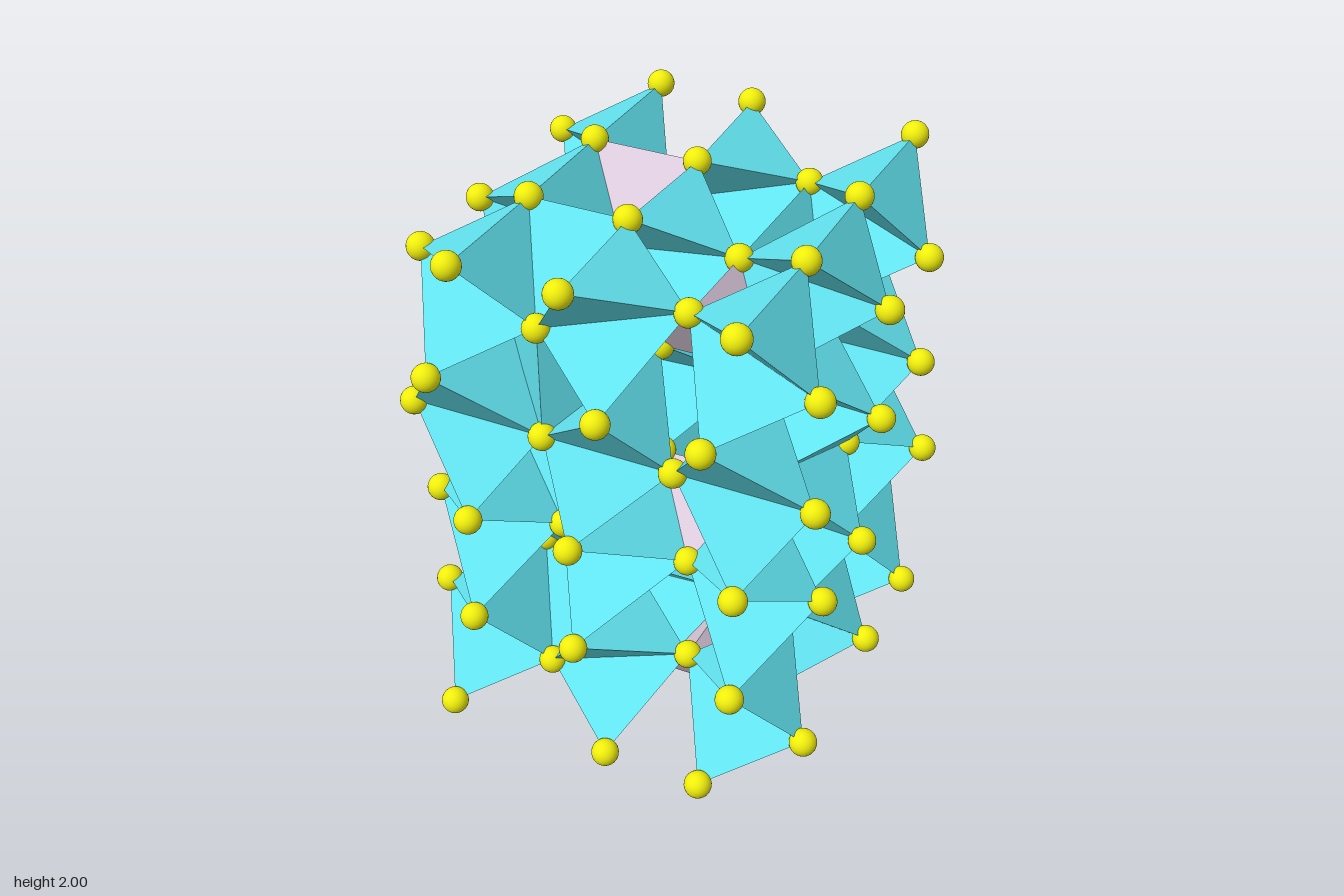
import * as THREE from 'three';
import { ConvexGeometry } from 'three/addons/geometries/ConvexGeometry.js';

const LAYERS = [0.282, 1.0, 1.718]; // heights of the three atom layers
const GRID = [-0.5, 0, 0.5];

// Corner atoms of one layer: half of them listed, the rest by inversion
const HALF = [
  [0.05, -0.22, 0.25], [0.45, -0.22, 0.25],
  [0.065, -0.232, 0.75], [0.435, -0.232, 0.75],
  [0.25, 0.065, 0.055], [0.25, 0.065, 0.445],
];

function layerAtoms(y, turned) {
  const atoms = [];
  for (const [x, h, z] of HALF) {
    for (const s of [1, -1]) {
      for (let i = -2; i <= 2; i++) {
        for (let k = -2; k <= 2; k++) {
          const px = s * x + i, pz = s * z + k;
          if (Math.abs(px) > 0.8 || Math.abs(pz) > 0.8) continue;
          atoms.push(turned
            ? new THREE.Vector3(pz, y + s * h, px)
            : new THREE.Vector3(px, y + s * h, pz));
        }
      }
    }
  }
  return atoms;
}

export function createModel() {
  const model = new THREE.Group();
  const yellow = new THREE.MeshStandardMaterial({ color: 0xf0ee0c });
  const cyan = new THREE.MeshStandardMaterial({ color: 0x62e4f0, flatShading: true });
  const mauve = new THREE.MeshStandardMaterial({ color: 0xe0cee0, flatShading: true });

  const atoms = LAYERS.flatMap((y, i) => layerAtoms(y, i % 2 === 1));

  // Solid spanned by the nearest corner atoms around a centre
  function polyhedron(name, x, y, z, corners, material) {
    const c = new THREE.Vector3(x, y, z);
    const near = [...atoms]
      .sort((a, b) => a.distanceToSquared(c) - b.distanceToSquared(c))
      .slice(0, corners);
    const mesh = new THREE.Mesh(new ConvexGeometry(near), material);
    mesh.name = name;
    model.add(mesh);
  }

  // Stacks of edge-sharing tetrahedra on a square grid
  function tetrahedronGrid(name, y) {
    for (const x of GRID) {
      for (const z of GRID) polyhedron(name, x, y, z, 4, cyan);
    }
  }

  LAYERS.forEach((y, i) => {
    const s = i % 2 ? -1 : 1;
    tetrahedronGrid('lowerTetrahedron', y - 0.13);
    tetrahedronGrid('upperTetrahedron', y + 0.13);

    // Small mauve tetrahedra and wide cyan ones between the stacks
    polyhedron('mauveTetrahedron', 0.25, y - 0.08, 0.25, 4, mauve);
    polyhedron('mauveTetrahedron', -0.25, y + 0.08, -0.25, 4, mauve);
    polyhedron('wideTetrahedron', -0.25 * s, y + 0.09, 0.25 * s, 4, cyan);
    polyhedron('wideTetrahedron', 0.25 * s, y - 0.09, -0.25 * s, 4, cyan);

    // Links to the next layer
    if (i < LAYERS.length - 1) {
      const mid = (y + LAYERS[i + 1]) / 2;
      tetrahedronGrid('bridgeTetrahedron', mid);
      polyhedron('linkTetrahedron', -0.25 * s, mid, 0.25 * s, 4, cyan);
      polyhedron('dodecahedron', 0.25 * s, mid, -0.25 * s, 8, cyan);
    }
  });

  // Corner balls
  const ball = new THREE.SphereGeometry(0.05, 24, 16);
  for (const p of atoms) {
    const mesh = new THREE.Mesh(ball, yellow);
    mesh.name = 'cornerBall';
    mesh.position.copy(p);
    model.add(mesh);
  }
  return model;
}
